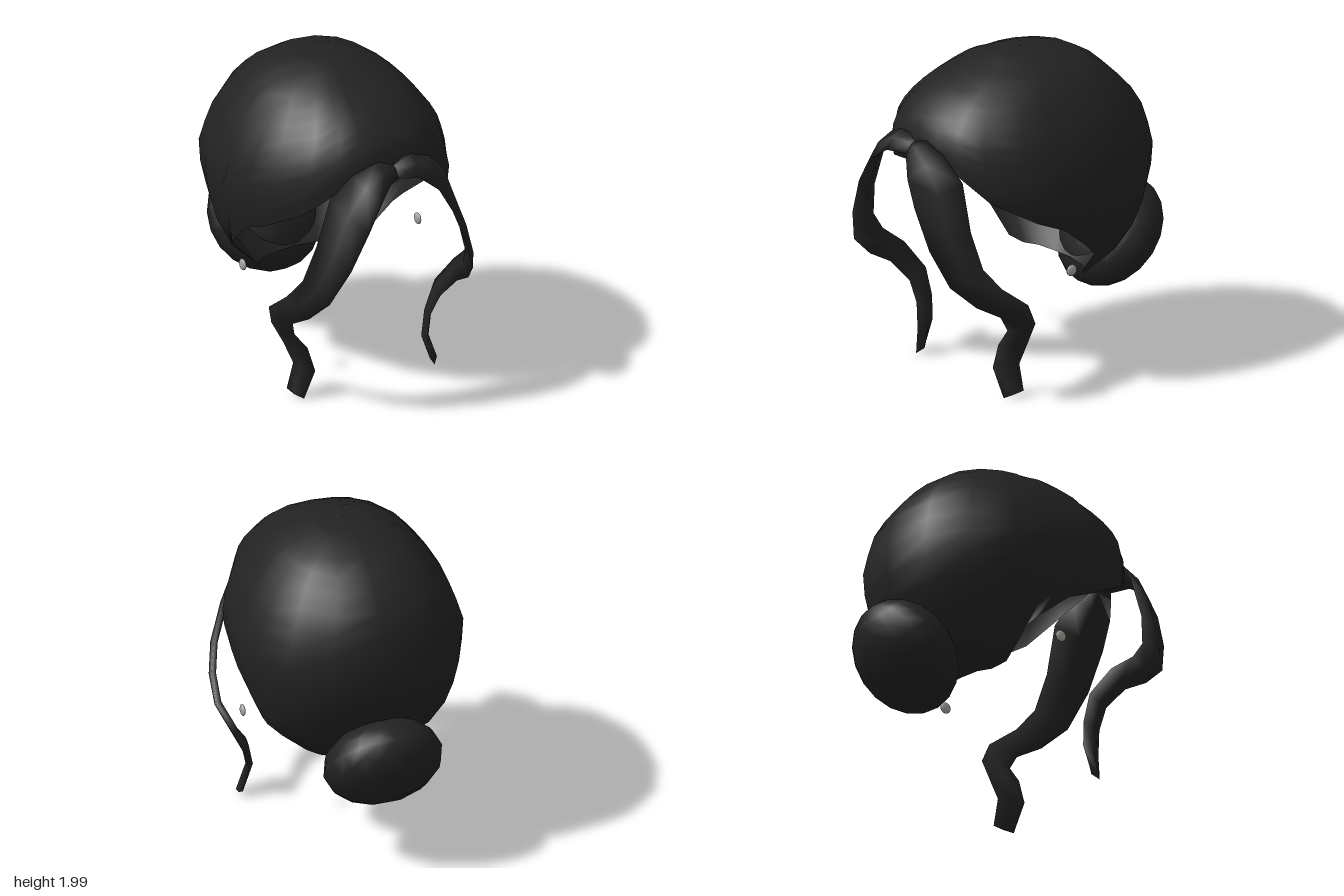
import * as THREE from 'three';

const hair = new THREE.MeshStandardMaterial({ color: 0x222222, side: THREE.DoubleSide });
hair.name = 'black hair';
const silver = new THREE.MeshStandardMaterial({ color: 0xa8a49e });
silver.name = 'silver';

// Horizontal rings of the cap: height, front z, back z, half width
const RINGS = [
  [2.0, 0, 0, 0], [1.99, 0.16, -0.16, 0.14], [1.91, 0.38, -0.43, 0.34],
  [1.82, 0.56, -0.55, 0.44], [1.69, 0.71, -0.67, 0.54], [1.57, 0.76, -0.74, 0.61],
  [1.35, 0.76, -0.79, 0.68], [1.2, 0.74, -0.78, 0.67], [1.0, 0.6, -0.73, 0.62],
  [0.8, 0.3, -0.58, 0.55], [0.65, 0.15, -0.45, 0.39], [0.58, 0.05, -0.36, 0.3],
];
// Hairline: angle from the front in degrees, height of the lower edge
const HAIRLINE = [
  [0, 1.55], [14, 1.5], [28, 1.42], [45, 1.27], [67, 1.12], [80, 1.04], [88, 0.9],
  [91, 0.82], [94, 0.64], [108, 0.6], [130, 0.59], [155, 0.58], [180, 0.58],
];

// Strand sections: front edge x, y, z, then back edge x, y, z
const STRAND = [
  [0, 1.49, 0.82, 0, 1.57, 0.71], [0.1, 1.5, 0.89, 0.13, 1.6, 0.76],
  [0.2, 1.42, 0.95, 0.27, 1.54, 0.73], [0.29, 1.26, 0.96, 0.4, 1.4, 0.69],
  [0.4, 1.02, 0.93, 0.5, 1.12, 0.7], [0.5, 0.8, 0.85, 0.57, 0.9, 0.66],
  [0.56, 0.66, 0.7, 0.62, 0.77, 0.56], [0.58, 0.57, 0.54, 0.65, 0.64, 0.39],
  [0.52, 0.45, 0.45, 0.58, 0.48, 0.29], [0.44, 0.34, 0.46, 0.51, 0.33, 0.3],
  [0.41, 0.19, 0.48, 0.47, 0.2, 0.33], [0.48, 0.01, 0.45, 0.53, 0.05, 0.34],
];

function ringAt(y) {
  let i = 1;
  while (i < RINGS.length - 1 && RINGS[i][0] > y) i++;
  const a = RINGS[i - 1], b = RINGS[i];
  const t = (a[0] - y) / (a[0] - b[0]);
  return a.map((v, k) => THREE.MathUtils.lerp(v, b[k], t));
}

// Skin a list of closed loops of points
function loft(loops, capEnds) {
  const n = loops[0].length, index = [];
  for (let i = 0; i < loops.length - 1; i++) {
    for (let j = 0; j < n; j++) {
      const a = i * n + j, b = i * n + (j + 1) % n;
      index.push(a, a + n, b, b, a + n, b + n);
    }
  }
  if (capEnds) {
    const e = (loops.length - 1) * n;
    for (let j = 1; j < n - 1; j++) index.push(0, j, j + 1, e, e + j + 1, e + j);
  }
  const geo = new THREE.BufferGeometry().setFromPoints(loops.flat());
  geo.setIndex(index);
  geo.computeVertexNormals();
  return geo;
}

// Open shell: squarish rings from the crown down to the hairline
function capGeometry() {
  const mirrored = HAIRLINE.slice(1, -1).reverse().map(([d, y]) => [360 - d, y]);
  const columns = [...HAIRLINE, ...mirrored];
  const power = (v) => Math.sign(v) * Math.abs(v) ** (2 / 2.4);
  const rows = 14, loops = [];
  for (let r = 0; r <= rows; r++) {
    // keep a tiny opening at the crown so its normals stay smooth
    const t = Math.max(0.01, 1 - Math.cos((r / rows) * Math.PI / 2));
    loops.push(columns.map(([deg, low]) => {
      const y = 2 - (2 - low) * t * (r ? 1 : 0.02);
      const [, front, back, width] = ringAt(y);
      const a = THREE.MathUtils.degToRad(deg);
      return new THREE.Vector3(
        width * power(Math.sin(a)), y,
        (front + back) / 2 + (front - back) / 2 * power(Math.cos(a)));
    }));
  }
  return loft(loops, false);
}

// Thin ribbon with a lens-shaped section
function strandGeometry(side, inset) {
  const edges = STRAND.map(([fx, fy, fz, bx, by, bz]) => [[fx, fy, fz], [bx, by, bz]].map(
    ([x, y, z]) => new THREE.Vector3(side * (x - inset * Math.max(0, 1 - y / 0.8)), y, z)));
  const mids = edges.map(([f, b]) => f.clone().lerp(b, 0.5));
  const loops = edges.map(([f, b], i) => {
    const along = mids[Math.min(i + 1, mids.length - 1)].clone().sub(mids[Math.max(i - 1, 0)]);
    const out = b.clone().sub(f).cross(along).normalize().multiplyScalar(0.022);
    return [f, mids[i].clone().add(out), b, mids[i].clone().sub(out)];
  });
  return loft(loops, true);
}

export function createModel() {
  const group = new THREE.Group();
  const add = (name, geo, mat) => {
    const mesh = new THREE.Mesh(geo, mat);
    mesh.name = name;
    group.add(mesh);
    return mesh;
  };

  add('hairCap', capGeometry(), hair);

  // Flattened bun tilted against the nape
  const bun = add('bun', new THREE.SphereGeometry(1, 14, 10), hair);
  bun.scale.set(0.365, 0.36, 0.24);
  bun.rotation.x = -0.707;
  bun.position.set(-0.015, 0.685, -0.66);

  // Parted front strands and ear studs
  for (const [label, side, inset] of [['left', 1, 0], ['right', -1, 0.05]]) {
    add(label + 'FrontStrand', strandGeometry(side, inset), hair);
    const stud = add(label + 'EarStud', new THREE.SphereGeometry(0.036, 10, 8), silver);
    stud.scale.x = 0.4;
    stud.position.set(side * 0.61, 0.775, 0.05);
  }
  return group;
}
